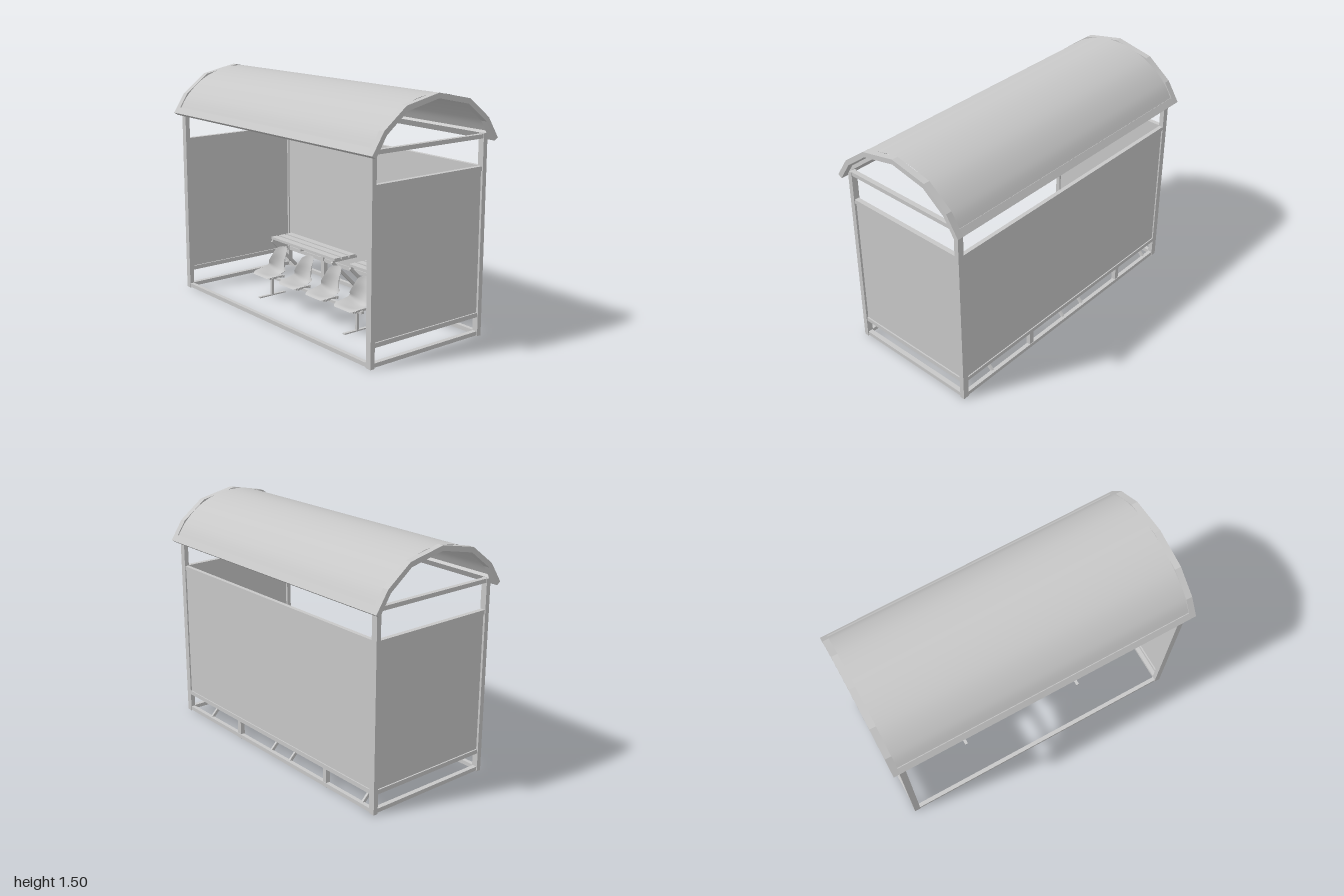
import * as THREE from 'three';

export function createModel() {
  const model = new THREE.Group();
  const grey = new THREE.MeshStandardMaterial({ color: 0xc8c8c8 });
  grey.name = 'light grey metal';
  const greySheet = grey;
  greySheet.side = THREE.DoubleSide;

  function add(name, geometry, parent = model) {
    const mesh = new THREE.Mesh(geometry, grey);
    mesh.name = name;
    parent.add(mesh);
    return mesh;
  }
  // box given by its minimum and maximum on each axis
  function box(name, x0, x1, y0, y1, z0, z1, parent) {
    const m = add(name, new THREE.BoxGeometry(x1 - x0, y1 - y0, z1 - z0), parent);
    m.position.set((x0 + x1) / 2, (y0 + y1) / 2, (z0 + z1) / 2);
    return m;
  }
  // outline of [z, y] points extruded along x
  function extrudeX(name, points, x0, x1) {
    const shape = new THREE.Shape(points.map(([z, y]) => new THREE.Vector2(-z, y)));
    const g = new THREE.ExtrudeGeometry(shape, { depth: x1 - x0, bevelEnabled: false });
    g.rotateY(Math.PI / 2);
    g.translate(x0, 0, 0);
    return add(name, g);
  }

  // corner posts
  for (const s of [-1, 1]) {
    const x0 = s > 0 ? 0.92 : -0.96, x1 = x0 + 0.04;
    box('frontPost', x0, x1, 0, 1.225, 0.41, 0.44);
    box('backPost', x0, x1, 0, 1.23, -0.435, -0.405);
    // side rails and infill panel
    for (const [y0, y1] of [[0.005, 0.03], [0.12, 0.147], [1.01, 1.037], [1.2, 1.225]])
      box('sideRail', x0 + 0.005, x1 - 0.005, y0, y1, -0.405, 0.41);
    box('sidePanel', s * 0.94 - 0.006, s * 0.94 + 0.006, 0.147, 1.01, -0.405, 0.41);
  }

  // front threshold, back rails and back panel
  box('frontRail', -0.92, 0.92, 0.005, 0.03, 0.412, 0.438);
  for (const [y0, y1] of [[0.005, 0.03], [0.12, 0.147], [1.01, 1.037]])
    box('backRail', -0.92, 0.92, y0, y1, -0.433, -0.407);
  box('backPanel', -0.92, 0.92, 0.147, 1.01, -0.426, -0.414);

  // faceted arches at both ends of the roof
  const outer = [[0.478, 1.205], [0.397, 1.33], [0.24, 1.45], [0, 1.5]];
  const inner = [[0.452, 1.188], [0.378, 1.306], [0.23, 1.42], [0, 1.469]];
  const across = half => [...half, ...half.slice(0, -1).reverse().map(([z, y]) => [-z, y])];
  const arch = [...across(outer), ...across(inner).reverse()];
  extrudeX('roofArch', arch, -1, -0.96);
  extrudeX('roofArch', arch, 0.96, 1);

  // eave beams
  for (const s of [-1, 1])
    extrudeX('eaveBeam', [[0.478, 1.205], [0.453, 1.243], [0.428, 1.226], [0.452, 1.188]]
      .map(([z, y]) => [s * z, y]), -0.96, 0.96);

  // smoothly curved roof sheet
  const roofCurve = new THREE.CatmullRomCurve3(
    across([[0.468, 1.205], [0.39, 1.322], [0.237, 1.438], [0, 1.492]])
      .map(([z, y]) => new THREE.Vector3(0, y, z)));
  const sheet = new THREE.PlaneGeometry(1.92, 1, 1, 40);
  const sp = sheet.attributes.position;
  for (let i = 0; i < sp.count; i++) {
    const p = roofCurve.getPoint(0.5 - sp.getY(i));
    sp.setXYZ(i, -sp.getX(i), p.y, p.z);
  }
  sheet.computeVertexNormals();
  add('roofSheet', sheet);

  // slatted shelves on diagonal struts
  for (const [x0, x1, mid] of [[-0.855, -0.14, -0.52], [0.01, 0.715, 0.35]]) {
    const shelf = new THREE.Group();
    shelf.name = 'shelf';
    model.add(shelf);
    for (let i = 0; i < 3; i++)
      box('slat', x0, x1, 0.25, 0.267, -0.25 - i * 0.065, -0.2 - i * 0.065, shelf);
    for (const x of [x0 + 0.012, x1 - 0.025]) {
      const strut = box('strut', x - 0.007, x + 0.007, -0.15, 0.15, -0.01, 0.01, shelf);
      strut.position.set(x, 0.133, -0.305);
      strut.rotation.x = Math.PI / 4;
      box('bearer', x - 0.007, x + 0.007, 0.235, 0.25, -0.41, -0.2, shelf);
    }
    box('middlePost', mid - 0.016, mid + 0.016, 0, 0.13, -0.43, -0.4, shelf);
    box('middleBracket', mid - 0.01, mid + 0.01, 0.13, 0.25, -0.412, -0.395, shelf);
    box('middleBearer', mid - 0.01, mid + 0.01, 0.235, 0.25, -0.41, -0.2, shelf);
  }

  // seat shell: centre line as half width, y, z, with the curl of its sides
  const spine = new THREE.CatmullRomCurve3([
    [0.075, 0.153, 0.2], [0.1, 0.158, 0.17], [0.1, 0.147, 0.1], [0.095, 0.152, 0.04],
    [0.085, 0.2, 0.015], [0.07, 0.26, 0.003], [0.058, 0.302, -0.008], [0.04, 0.32, -0.012],
  ].map(p => new THREE.Vector3(...p)));
  const curl = new THREE.CatmullRomCurve3([
    [0, 0, 0], [0, 0.005, 0], [0, 0.03, 0], [0, 0.04, 0.02],
    [0, 0.02, 0.05], [0, 0, 0.045], [0, 0, 0.03], [0, -0.005, 0.015],
  ].map(p => new THREE.Vector3(...p)));
  const shell = new THREE.PlaneGeometry(2, 1, 12, 24);
  const pos = shell.attributes.position;
  for (let i = 0; i < pos.count; i++) {
    const u = pos.getX(i), t = pos.getY(i) + 0.5;
    const p = spine.getPoint(t), c = curl.getPoint(t);
    pos.setXYZ(i, u * p.x, p.y + c.y * u * u, p.z + c.z * u * u);
  }
  shell.computeVertexNormals();

  for (const x of [-0.43, -0.145, 0.137, 0.42]) {
    const seat = new THREE.Group();
    seat.name = 'seat';
    seat.position.x = x;
    model.add(seat);
    add('seatShell', shell, seat);
    // carrier under the shell
    for (const s of [-1, 1])
      box('carrierBar', s * 0.05 - 0.006, s * 0.05 + 0.006, 0.132, 0.146, 0.04, 0.16, seat);
    for (const z of [0.05, 0.14])
      box('carrierCrossbar', -0.06, 0.06, 0.13, 0.142, z - 0.006, z + 0.006, seat);
  }

  // seat beam, legs and feet
  box('seatBeam', -0.49, 0.49, 0.12, 0.137, 0.085, 0.105);
  for (const x of [-0.44, 0.44]) {
    box('seatLeg', x - 0.008, x + 0.008, 0.005, 0.12, 0.087, 0.103);
    box('seatFoot', x - 0.01, x + 0.01, 0, 0.008, -0.01, 0.2);
  }
  return model;
}
